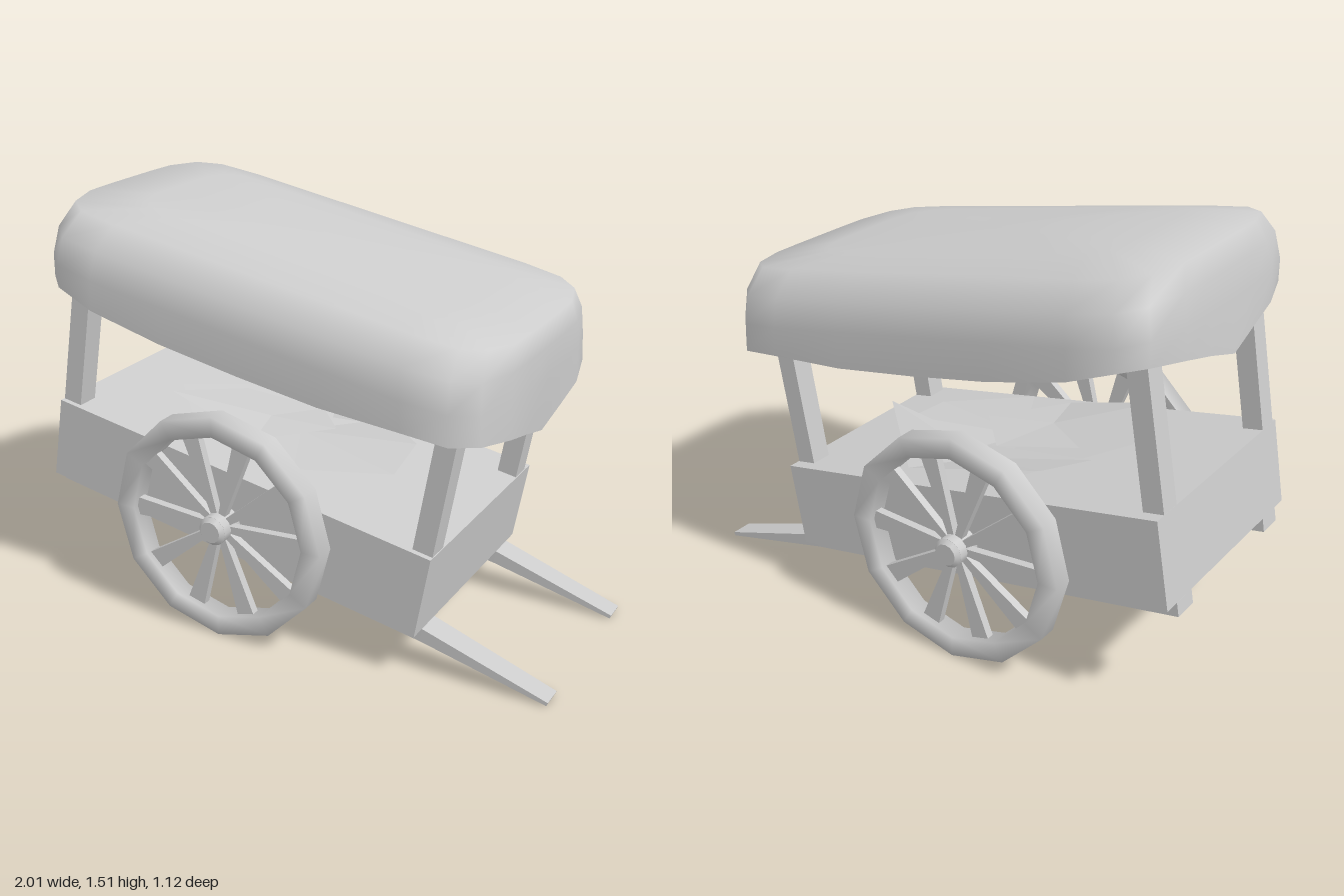
import * as THREE from 'three';

const mat = new THREE.MeshStandardMaterial({ color: 0xcccccc });
const thinMat = new THREE.MeshStandardMaterial({ color: 0xcccccc, side: THREE.DoubleSide });
const flatThinMat = new THREE.MeshStandardMaterial({ color: 0xcccccc, side: THREE.DoubleSide, flatShading: true });
const TILT = 0.175;

function add(parent, name, geometry, x = 0, y = 0, z = 0, material = mat) {
  const mesh = new THREE.Mesh(geometry, material);
  mesh.name = name;
  mesh.position.set(x, y, z);
  parent.add(mesh);
  return mesh;
}

function extrude(points, depth) {
  const shape = new THREE.Shape(points.map(([x, y]) => new THREE.Vector2(x, y)));
  return new THREE.ExtrudeGeometry(shape, { depth, bevelEnabled: false }).translate(0, 0, -depth / 2);
}

// Spoked wheel facing +z
function createWheel() {
  const wheel = new THREE.Group();
  wheel.name = 'wheel';
  const w = 0.037;
  const section = [[0.427, -w], [0.427, w], [0.352, w], [0.352, -w], [0.427, -w]];
  const profile = section.map(([r, h]) => new THREE.Vector2(r, h));
  add(wheel, 'rim', new THREE.LatheGeometry(profile, 12).rotateX(Math.PI / 2));
  const spoke = extrude([[0.03, -0.012], [0.365, -0.036], [0.365, 0.036], [0.03, 0.012]], 0.03);
  for (let i = 0; i < 10; i++) {
    add(wheel, 'spoke', spoke).rotation.z = (i / 10) * Math.PI * 2;
  }
  add(wheel, 'hub', new THREE.CylinderGeometry(0.055, 0.055, 0.095, 12).rotateX(Math.PI / 2), 0, 0, 0.005);
  add(wheel, 'hubCap', new THREE.CylinderGeometry(0.04, 0.055, 0.016, 12).rotateX(Math.PI / 2), 0, 0, 0.06);
  return wheel;
}

// Canopy shell: rounded rectangular rings from the hem up to the crown
function createCanopy() {
  const quarter = [[1, 0], [1, 0.28], [0.995, 0.54], [0.95, 0.82], [0.86, 0.96], [0.68, 1], [0.35, 1]];
  const ring = [];
  for (let q = 0; q < 4; q++) {
    const sx = q === 0 || q === 3 ? 1 : -1;
    const sz = q < 2 ? 1 : -1;
    const part = q % 2 ? [[0, 1], ...quarter.slice(1).reverse()] : quarter;
    part.forEach(([x, z]) => ring.push([sx * x, sz * z]));
  }
  // half length, half width, height, lengthwise shift
  const layers = [
    [0.887, 0.553, 0.635, 0.033], [0.882, 0.553, 0.77, 0.015], [0.868, 0.535, 0.87, 0.005],
    [0.848, 0.455, 0.952, 0], [0.62, 0.3, 0.982, 0], [0.3, 0.14, 0.99, 0],
  ];
  const n = ring.length;
  const positions = [];
  const index = [];
  layers.forEach(([a, b, h, shift], layer) => {
    ring.forEach(([x, z]) => {
      // Wavy hem that hangs lowest at the middle of each end
      const endSag = Math.abs(x) > 0.9 ? 0.115 * Math.pow(1 - Math.abs(z), 1.5) : 0;
      const hem = 0.06 * x * x + 0.012 * Math.sin(x * 9 + 3) - endSag;
      // Crown slightly higher toward the rear
      positions.push(a * x + shift, h + (layer ? 0 : hem) - (layer > 3 ? 0.008 * x : 0), b * z);
    });
  });
  positions.push(0, 0.992, 0);
  for (let l = 0; l < layers.length; l++) {
    for (let i = 0; i < n; i++) {
      const j = (i + 1) % n;
      const a = l * n + i, b = l * n + j;
      if (l === layers.length - 1) index.push(a, layers.length * n, b);
      else index.push(a, a + n, b, b, a + n, b + n);
    }
  }
  const geometry = new THREE.BufferGeometry();
  geometry.setAttribute('position', new THREE.Float32BufferAttribute(positions, 3));
  geometry.setIndex(index);
  geometry.computeVertexNormals();
  return geometry;
}

// Crumpled sheet: a fan from its first point
function createSheet(points) {
  const geometry = new THREE.BufferGeometry().setFromPoints(points.map((p) => new THREE.Vector3(...p)));
  const index = [];
  for (let i = 1; i < points.length; i++) index.push(0, i, (i % (points.length - 1)) + 1);
  geometry.setIndex(index);
  geometry.computeVertexNormals();
  return geometry;
}

export function createModel() {
  const model = new THREE.Group();
  model.name = 'coveredHandcart';

  // The whole cart tips forward about its axle
  const cart = new THREE.Group();
  cart.name = 'cart';
  cart.position.set(-0.21, 0.427, -0.013);
  cart.rotation.z = -TILT;
  model.add(cart);

  // Deck and four walls, open underneath (the box's bottom face is dropped)
  const body = new THREE.BoxGeometry(1.555, 0.314, 0.87);
  const faces = Array.from(body.index.array);
  faces.splice(18, 6);
  body.setIndex(faces);
  body.clearGroups();
  add(cart, 'body', body, 0.003, 0.031, 0, thinMat);

  // Under-rails running on into tapered handles
  const rail = extrude([
    [-0.775, -0.177], [0.783, -0.177], [1.262, -0.208],
    [1.265, -0.194], [0.783, -0.126], [-0.775, -0.126],
  ], 0.1);
  const p = rail.attributes.position;
  for (let i = 0; i < p.count; i++) {
    if (p.getX(i) > 1) p.setZ(i, p.getZ(i) * 0.82);
  }
  rail.computeVertexNormals();

  const post = new THREE.BoxGeometry(0.075, 0.72, 0.083);
  for (const side of [-1, 1]) {
    add(cart, 'railAndHandle', rail, 0, 0, side * 0.322);
    for (const end of [-1, 1]) {
      add(cart, 'canopyPost', post, 0.002 + end * 0.738, 0.53, 0.013 + side * 0.36);
    }
    const wheel = createWheel();
    wheel.position.z = side * 0.48;
    wheel.rotation.set(0, side < 0 ? Math.PI : 0, side * TILT);
    cart.add(wheel);
  }

  add(cart, 'canopy', createCanopy(), 0, 0, 0.018, thinMat);

  // Loose crumpled sheets lying on the deck
  const sheets = [
    [[-0.15, 0.635, 0], [-0.65, 0.74, 0.05], [-0.4, 0.69, 0.31], [0, 0.63, 0.31], [0.3, 0.6, 0.12],
      [0.28, 0.63, -0.1], [0.05, 0.6, -0.33], [-0.3, 0.66, -0.4]],
    [[-0.25, 0.69, 0.05], [-0.57, 0.79, 0.23], [-0.2, 0.68, 0.25], [0, 0.67, 0], [-0.15, 0.66, -0.17], [-0.45, 0.71, -0.1]],
    [[-0.15, 0.66, -0.28], [-0.5, 0.78, -0.43], [-0.54, 0.72, -0.17], [-0.1, 0.64, -0.15], [0.36, 0.68, -0.12], [0.05, 0.62, -0.42]],
  ];
  sheets.forEach((s) => add(model, 'looseSheet', createSheet(s), 0, 0, 0, flatThinMat));

  return model;
}
